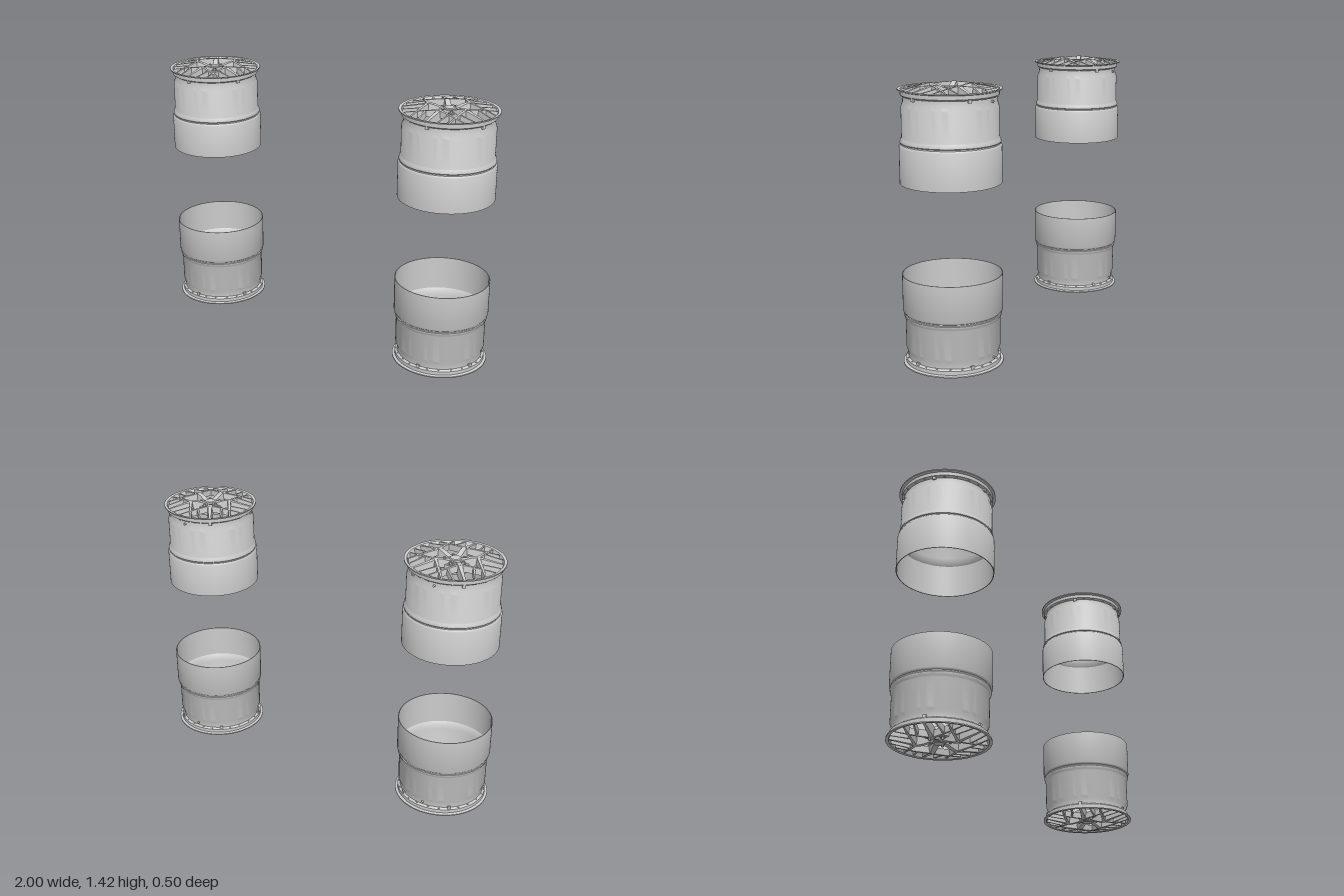
import * as THREE from 'three';
import { toCreasedNormals } from 'three/addons/utils/BufferGeometryUtils.js';

const material = new THREE.MeshStandardMaterial({ color: 0xcccccc, side: THREE.DoubleSide });
const lerp = THREE.MathUtils.lerp;

function part(name, geometry, parent) {
  const mesh = new THREE.Mesh(geometry, material);
  mesh.name = name;
  parent.add(mesh);
  return mesh;
}

// Height of the wheel face at radius r: dished hub, crown, then falling to the lip
function faceHeight(r) {
  return r < 0.1
    ? lerp(-0.02, -0.001, THREE.MathUtils.smoothstep(r, 0.03, 0.1))
    : lerp(-0.001, -0.028, (r - 0.1) / 0.135);
}

// Tapered bar between two [x, z] points, following the face and narrower on top
function bar(a, b, widthA, widthB, depth) {
  const geometry = new THREE.BoxGeometry(1, 1, 1, 8, 1, 1);
  const p = geometry.attributes.position;
  const dx = b[0] - a[0], dz = b[1] - a[1], length = Math.hypot(dx, dz);
  for (let i = 0; i < p.count; i++) {
    const t = p.getX(i) + 0.5, top = p.getY(i) > 0;
    const side = p.getZ(i) * lerp(widthA, widthB, t) * (top ? 0.65 : 1);
    const cx = a[0] + dx * t, cz = a[1] + dz * t;
    const y = faceHeight(Math.hypot(cx, cz)) - (top ? 0 : depth);
    p.setXYZ(i, cx - (dz / length) * side, y, cz + (dx / length) * side);
  }
  return toCreasedNormals(geometry, 0.5);
}

// Rim section: outside from back to lip, then the inside back again
const rimProfile = [
  [0.25, -0.483], [0.25, -0.3], [0.247, -0.294], [0.243, -0.29], [0.243, -0.284],
  [0.246, -0.28], [0.243, -0.268], [0.24, -0.262], [0.237, -0.256], [0.237, -0.11],
  [0.234, -0.1], [0.228, -0.085], [0.227, -0.06], [0.239, -0.052], [0.239, -0.033],
  [0.2525, -0.029], [0.2525, -0.023], [0.238, -0.025], [0.234, -0.034], [0.229, -0.048],
  [0.219, -0.06], [0.22, -0.088], [0.23, -0.112], [0.231, -0.262], [0.238, -0.29],
  [0.246, -0.302], [0.246, -0.483], [0.25, -0.483],
].map(([r, y]) => new THREE.Vector2(r, y));

// Wheel with its face up at y = 0 and its open back below
function createWheel(name) {
  const wheel = new THREE.Group();
  wheel.name = name;
  part('rim', toCreasedNormals(new THREE.LatheGeometry(rimProfile, 96), 0.5), wheel);

  // Hub with mounting pad and centre cap
  const hub = [[0, -0.075], [0.072, -0.075], [0.076, -0.06], [0.07, -0.034], [0.034, -0.03],
    [0.031, -0.018], [0.026, -0.014], [0, -0.014]].map(([r, y]) => new THREE.Vector2(r, y));
  part('hub', toCreasedNormals(new THREE.LatheGeometry(hub, 40), 0.5), wheel);

  for (let i = 0; i < 5; i++) {
    const sector = new THREE.Group();
    sector.name = 'spokeSector';
    sector.rotation.y = (i * Math.PI * 2) / 5;
    wheel.add(sector);
    part('mainSpoke', bar([0, 0.02], [0, 0.236], 0.046, 0.018, 0.042), sector);
    for (const s of [-1, 1]) {
      // Crossing branches that form the lattice between main spokes
      part('branchSpoke', bar([0, 0.11], [s * 0.164, 0.164], 0.024, 0.012, 0.032), sector);
      // Short fork reaching the rim beside the main spoke
      part('forkSpoke', bar([s * 0.064, 0.131], [s * 0.052, 0.228], 0.015, 0.011, 0.03), sector);
    }
    // Lug seat and bolt between the spokes
    const angle = Math.PI / 5;
    const x = Math.sin(angle) * 0.053, z = Math.cos(angle) * 0.053;
    part('lugSeat', new THREE.TorusGeometry(0.012, 0.003, 8, 20).rotateX(Math.PI / 2), sector)
      .position.set(x, -0.03, z);
    part('lugBolt', new THREE.CylinderGeometry(0.007, 0.007, 0.016, 6), sector)
      .position.set(x, -0.027, z);
  }

  // Valve stem on the barrel
  const valve = part('valveStem', new THREE.CylinderGeometry(0.006, 0.006, 0.022, 12), wheel);
  valve.rotation.x = Math.PI / 2;
  valve.position.set(0, -0.075, -0.227);
  return wheel;
}

export function createModel() {
  const model = new THREE.Group();
  model.name = 'wheelSet';
  for (const s of [-1, 1]) {
    const side = s > 0 ? 'left' : 'right';
    const upper = createWheel(side + 'UpperWheel');
    upper.position.set(s * 0.7475, 1.425, 0);
    const lower = createWheel(side + 'LowerWheel');
    lower.rotation.z = Math.PI; // face down
    lower.position.set(s * 0.7475, 0.001, 0);
    model.add(upper, lower);
  }
  return model;
}
